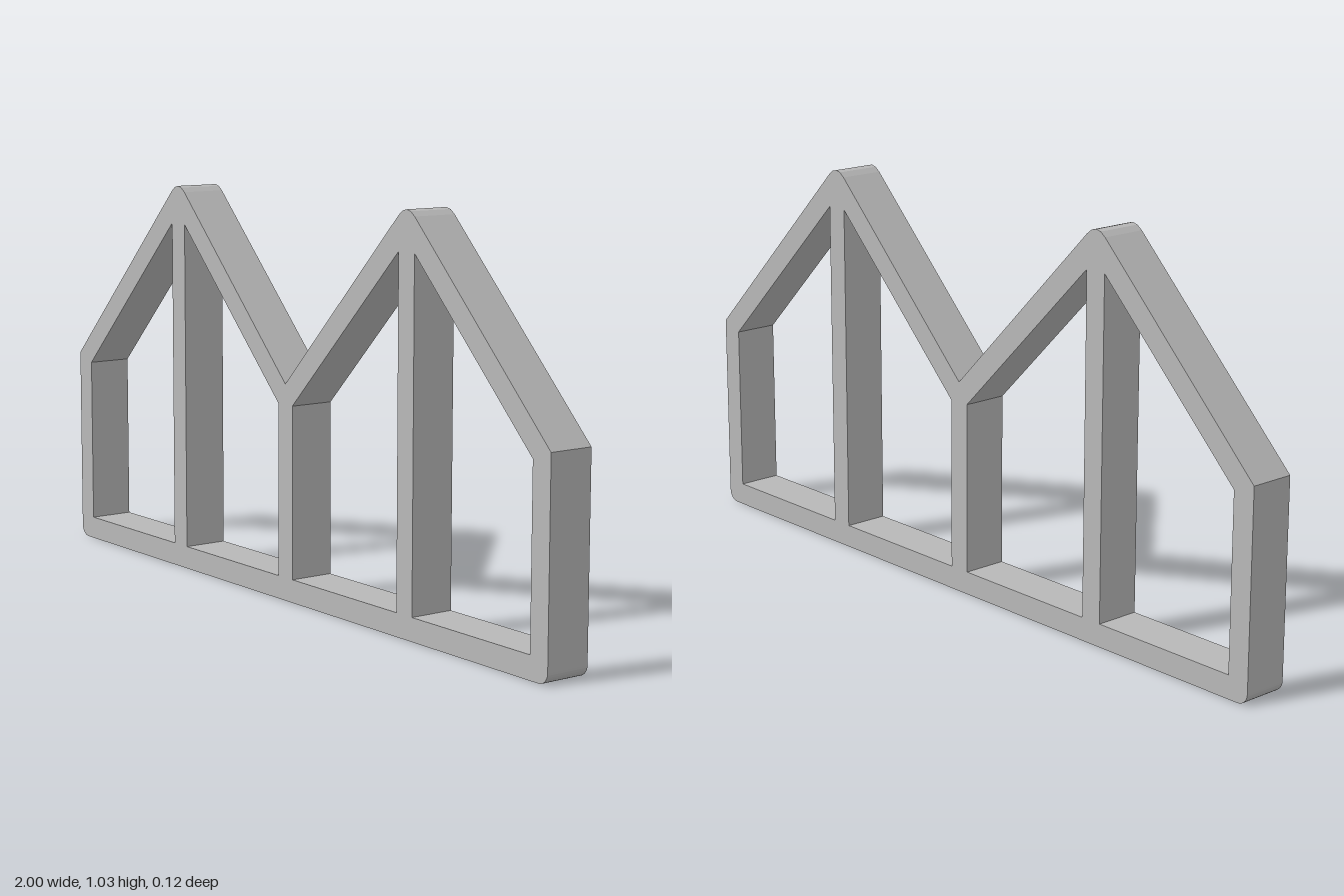
import * as THREE from 'three';

export function createModel() {
  const group = new THREE.Group();
  const grey = new THREE.MeshStandardMaterial({ color: 0xb8b8b8 });
  grey.name = 'plain grey';

  const depth = 0.12, wall = 0.06, half = wall / 2;
  const peakX = 0.486, eave = 0.53, valley = 0.56, r = 0.03;
  const peakY = valley + peakX; // 45 degree roofs, before rounding

  // Twin-gable outline with rounded base corners and ridges
  const outline = new THREE.Shape();
  outline.moveTo(-1 + r, 0);
  outline.lineTo(1 - r, 0);
  outline.absarc(1 - r, r, r, -Math.PI / 2, 0, false);
  outline.lineTo(1, eave);
  outline.lineTo(peakX + r, peakY - r);
  outline.quadraticCurveTo(peakX, peakY, peakX - r, peakY - r);
  outline.lineTo(0, valley);
  outline.lineTo(-peakX + r, peakY - r);
  outline.quadraticCurveTo(-peakX, peakY, -peakX - r, peakY - r);
  outline.lineTo(-1, eave);
  outline.lineTo(-1, r);
  outline.absarc(-1 + r, r, r, Math.PI, Math.PI * 1.5, false);

  // Four openings: an outer and an inner one beside each post
  const top = 0.93, low = 0.507;
  for (const s of [-1, 1]) {
    for (const [side, post] of [[1 - wall, peakX + half], [half, peakX - half]]) {
      outline.holes.push(new THREE.Path([
        new THREE.Vector2(s * side, wall),
        new THREE.Vector2(s * post, wall),
        new THREE.Vector2(s * post, top),
        new THREE.Vector2(s * side, low),
      ]));
    }
  }

  const geometry = new THREE.ExtrudeGeometry(outline, { depth, bevelEnabled: false, curveSegments: 4 });
  geometry.translate(0, 0, -depth / 2);
  const frame = new THREE.Mesh(geometry, grey);
  frame.name = 'twinGableFrame';
  group.add(frame);
  return group;
}
